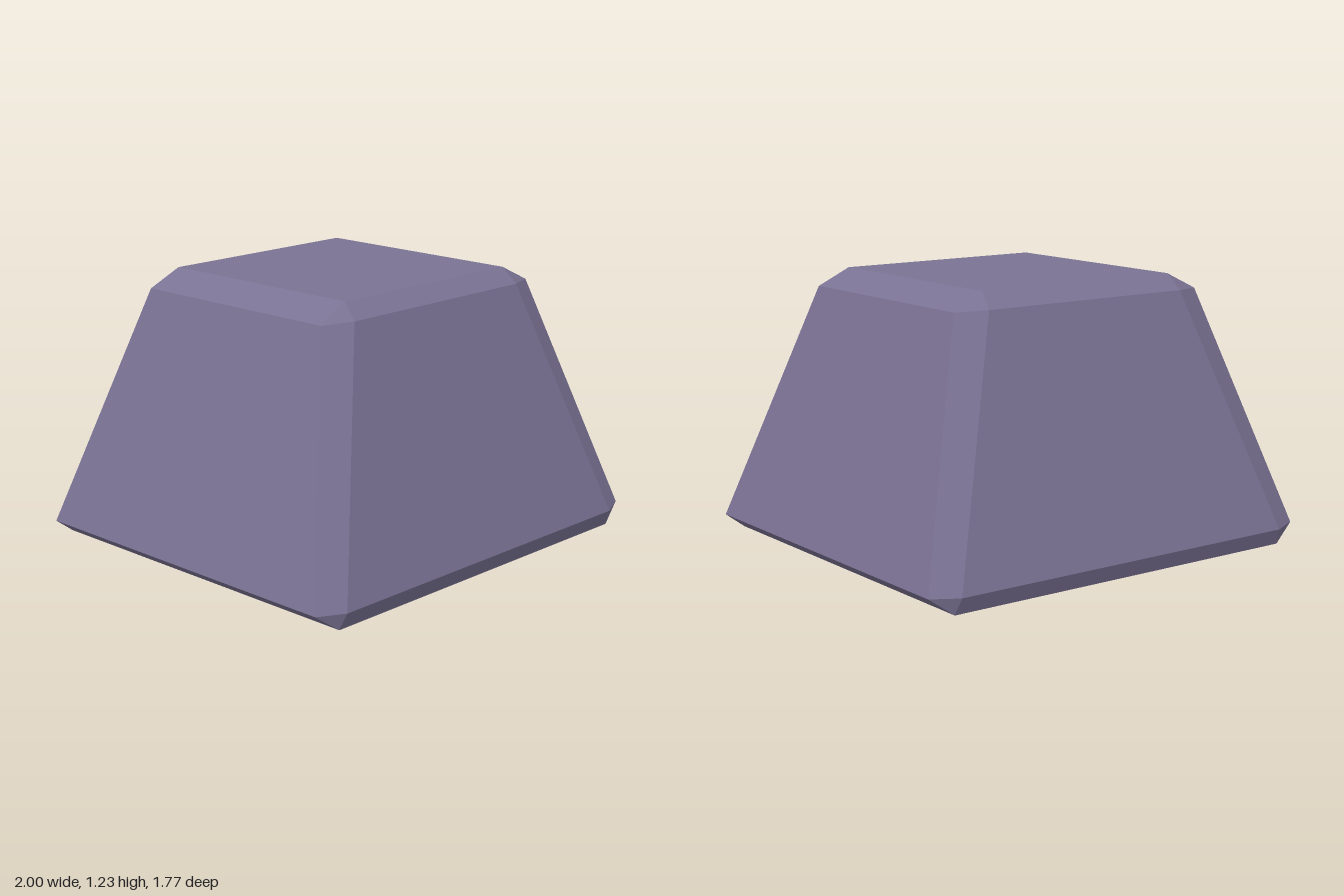
import * as THREE from 'three';
import { ConvexGeometry } from 'three/addons/geometries/ConvexGeometry.js';

export function createModel() {
  const group = new THREE.Group();
  group.name = 'taperedBlock';
  const stone = new THREE.MeshStandardMaterial({ color: 0x7b7394 });
  stone.name = 'dusty purple';

  // One bevelled corner at the base and one at the top: a point on the side, front and flat face of each
  const corners = [
    [1.0, 0.08, 0.83], [0.875, 0.075, 0.885], [0.89, 0, 0.855],
    [0.657, 1.15, 0.527], [0.52, 1.155, 0.583], [0.505, 1.225, 0.515],
  ];

  // Mirror the corners to all four sides and wrap them in flat faces
  const points = [];
  for (const sx of [-1, 1])
    for (const sz of [-1, 1])
      for (const [x, y, z] of corners) points.push(new THREE.Vector3(sx * x, y, sz * z));

  const block = new THREE.Mesh(new ConvexGeometry(points), stone);
  block.name = 'bevelledBlock';
  group.add(block);
  return group;
}
